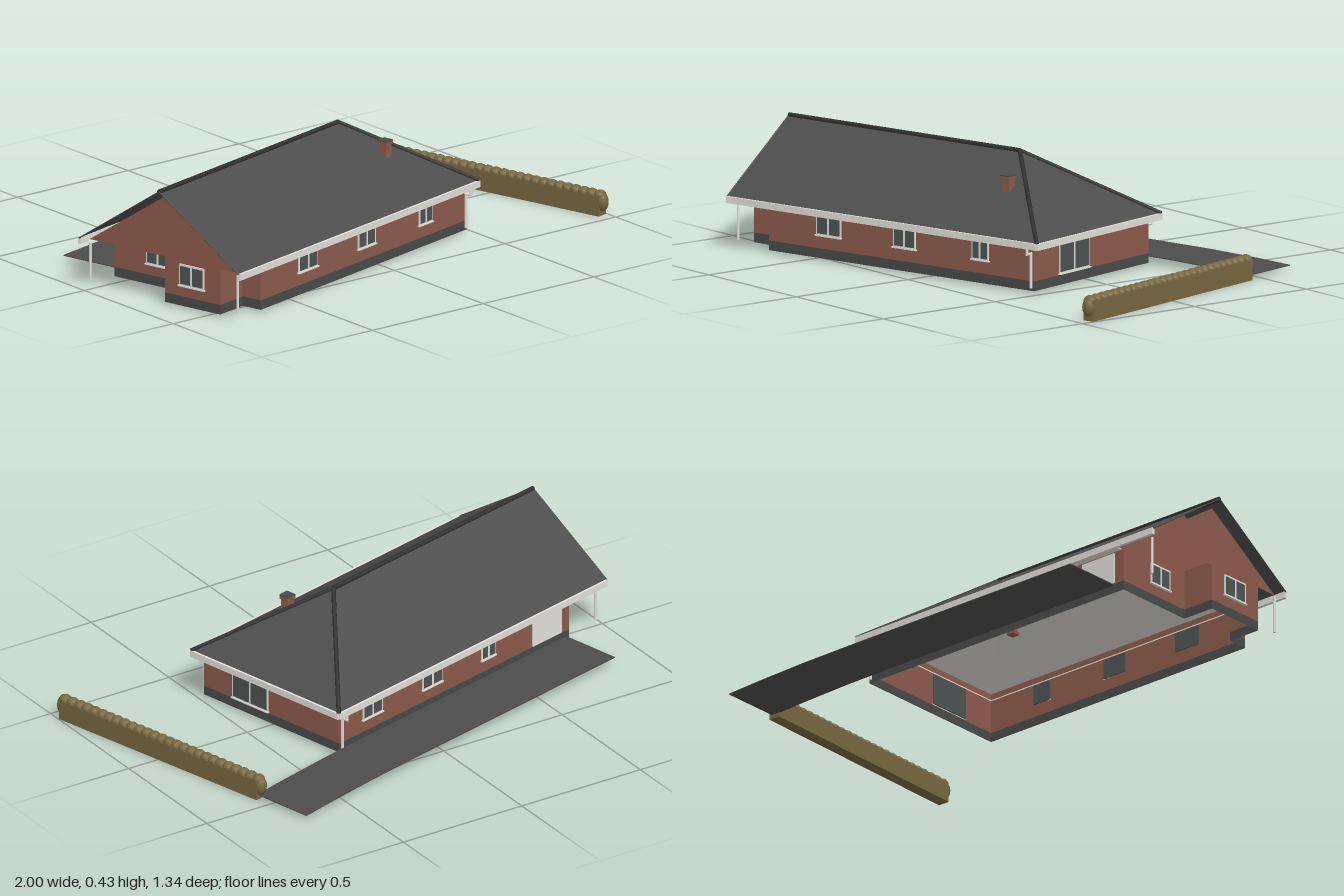
import * as THREE from 'three';

const material = (name, color, side = THREE.FrontSide) => {
  const m = new THREE.MeshStandardMaterial({ color, side });
  m.name = name;
  return m;
};

export function createModel() {
  const D = THREE.DoubleSide;
  const brick = material('brick', 0x8c5a4c, D);
  const stone = material('plinth grey', 0x484a4a, D);
  const tile = material('roof tile', 0x4d4d4d, D);
  const ridgeDark = material('ridge tile', 0x303030);
  const white = material('trim white', 0xe2e0da);
  const glass = material('glass', 0x4c5352);
  const leaf = material('hedge', 0x76673f);
  const asphalt = material('asphalt', 0x4c4c4c);
  const lining = material('ceiling white', 0xd8d5ce, D);

  const model = new THREE.Group();
  model.name = 'bungalow';
  // The plot is turned on the ground: local x runs along the ridge
  const plot = new THREE.Group();
  plot.name = 'plot';
  plot.position.set(-0.24, 0, 0.15);
  plot.rotation.y = 0.24;
  model.add(plot);

  const add = (name, geo, mat, x = 0, y = 0, z = 0, parent = plot) => {
    const mesh = new THREE.Mesh(geo, mat);
    mesh.name = name;
    mesh.position.set(x, y, z);
    parent.add(mesh);
    return mesh;
  };
  const box = (name, mat, w, h, d, x, y, z, parent) =>
    add(name, new THREE.BoxGeometry(w, h, d), mat, x, y, z, parent);
  const beam = (name, a, b, r, mat) => {
    const p = new THREE.Vector3(...a), q = new THREE.Vector3(...b);
    const mesh = add(name, new THREE.CylinderGeometry(r, r, p.distanceTo(q), 8), mat);
    mesh.position.copy(p).lerp(q, 0.5);
    mesh.quaternion.setFromUnitVectors(new THREE.Vector3(0, 1, 0), q.sub(p).normalize());
  };
  const polygons = (faces) => {
    const pos = [];
    for (const f of faces)
      for (let i = 1; i < f.length - 1; i++) pos.push(...f[0], ...f[i], ...f[i + 1]);
    const g = new THREE.BufferGeometry();
    g.setAttribute('position', new THREE.Float32BufferAttribute(pos, 3));
    g.computeVertexNormals();
    return g;
  };

  // Walls and plinth follow one stepped plan, open underneath
  const plan = [[0.66, 0.325], [0.66, -0.325], [-0.53, -0.325], [-0.53, 0],
    [-0.66, 0], [-0.66, 0.245], [-0.53, 0.245], [-0.53, 0.325]];
  const band = (y0, y1) => polygons(plan.map(([x, z], i) => {
    const [x2, z2] = plan[(i + 1) % plan.length];
    return [[x, y0, z], [x2, y0, z2], [x2, y1, z2], [x, y1, z]];
  }));
  add('walls', band(0.045, 0.195), brick);
  add('plinth', band(0.01, 0.045), stone);

  // Roof: gable on the left end of the ridge, hip on the other
  const H = 0.34, R = 0.425;
  const slopes = (left, right, half, eave, ridge) => {
    const fl = [left, eave, half], fr = [right, eave, half];
    const bl = [left, eave, -half], br = [right, eave, -half];
    const rl = [left, ridge, 0], rr = [H, ridge, 0];
    return [[fl, fr, rr, rl], [br, bl, rl, rr], [fr, br, rr]];
  };
  const L = 0.695, W = 0.355, E = 0.187;
  add('roof', polygons(slopes(-L, L, W, E, R)), tile);
  // Vaulted lining inside, its faces turned downward
  add('roofLining', polygons(slopes(-0.53, 0.66, 0.325, 0.195, 0.413).map((f) => f.reverse())), lining);
  const gable = (x, half, base, apex) => [[x, base, -half], [x, base, half], [x, apex, 0]];
  add('gableWalls', polygons([gable(-0.53, 0.325, 0.195, 0.413), gable(-0.66, 0.335, 0.178, 0.4)]), brick);

  const rl = [-L, R, 0], rr = [H, R, 0];
  beam('ridge', rl, rr, 0.009, ridgeDark);
  // Hips, gutters, downpipes and porch posts mirror front to back
  for (const s of [-1, 1]) {
    beam('hip', rr, [L, E, s * W], 0.008, ridgeDark);
    beam('verge', rl, [-L, E, s * W], 0.0025, tile);
    box('gutter', white, 2 * L, 0.024, 0.012, 0, 0.177, s * W);
    box('eaveSoffit', white, 1.2, 0.004, 0.03, 0.08, 0.17, s * 0.338);
    beam('porchPost', [-0.666, 0.03, s * 0.327], [-0.666, 0.17, s * 0.327], 0.005, white);
    beam('downpipe', [0.65, 0.02, s * 0.331], [0.65, 0.147, s * 0.331], 0.005, white);
    beam('downpipeElbow', [0.65, 0.145, s * 0.327], [0.65, 0.145, s * 0.357], 0.005, white);
    beam('downpipeDrop', [0.65, 0.143, s * 0.353], [0.65, 0.168, s * 0.353], 0.005, white);
  }
  box('gutter', white, 0.012, 0.024, 2 * W, L, 0.177, 0);
  box('eaveSoffit', white, 0.035, 0.004, 0.7, 0.676, 0.17, 0);

  // Chimney
  box('chimney', brick, 0.032, 0.07, 0.032, 0.41, 0.325, 0.156);
  box('chimneyCap', brick, 0.04, 0.012, 0.04, 0.41, 0.362, 0.156);
  box('chimneyTop', stone, 0.04, 0.004, 0.04, 0.41, 0.37, 0.156);

  // Windows: framed outside, plain glass inside
  const opening = (name, x, z, w, y0, y1, turn = 0) => {
    const g = new THREE.Group();
    g.name = name;
    g.position.set(x, (y0 + y1) / 2, z);
    g.rotation.y = turn;
    plot.add(g);
    const h = y1 - y0;
    box('frame', white, w, h, 0.005, 0, 0, 0.0025, g);
    for (const s of [-1, 1])
      box('pane', glass, w / 2 - 0.01, h - 0.014, 0.002, s * w / 4, 0, 0.005, g);
    box('innerGlass', glass, w, h, 0.004, 0, 0, -0.002, g);
    box('sill', white, w + 0.008, 0.005, 0.009, 0, -h / 2, 0.0045, g);
  };
  for (const [x, w] of [[-0.26, 0.11], [0.08, 0.1], [0.42, 0.075]])
    opening('frontWindow', x, 0.325, w, 0.092, 0.165);
  for (const [x, w] of [[0.49, 0.1], [0.18, 0.1], [-0.11, 0.07]])
    opening('backWindow', x, -0.325, w, 0.092, 0.165, Math.PI);
  opening('gableWindow', -0.66, 0.12, 0.11, 0.085, 0.165, -Math.PI / 2);
  opening('gableWindow', -0.53, -0.13, 0.1, 0.085, 0.165, -Math.PI / 2);
  opening('slidingDoor', 0.66, 0.1, 0.17, 0.05, 0.165, Math.PI / 2);
  box('garageDoor', white, 0.15, 0.115, 0.009, -0.415, 0.105, -0.325);

  // Driveway: a thin strip dipping toward the hedge
  const rise = [[-0.5, 0.033], [0.5, 0.033], [0.75, 0.031], [0.95, 0.025], [1.1, 0.018]];
  const profile = new THREE.Shape([...rise, ...rise.slice().reverse().map(([x, y]) => [x, y - 0.003])]
    .map((p) => new THREE.Vector2(...p)));
  add('driveway', new THREE.ExtrudeGeometry(profile, { depth: 0.235, bevelEnabled: false }),
    asphalt, 0, 0, -0.575);

  // Hedge: straight body with a row of rounded tufts
  const hedge = new THREE.Group();
  hedge.name = 'hedge';
  hedge.position.set(1.099, 0, 0.12);
  hedge.rotation.y = 0.022;
  plot.add(hedge);
  box('hedgeBody', leaf, 0.044, 0.074, 0.93, 0, 0.037, 0, hedge);
  const tuft = new THREE.SphereGeometry(0.023, 10, 8);
  const count = 27;
  for (let i = 0; i < count; i++) {
    const t = add('hedgeTuft', tuft, leaf, 0, 0.074, -0.455 + (0.91 * i) / (count - 1), hedge);
    t.scale.y = 0.8;
  }
  for (const s of [-1, 1]) {
    const end = add('hedgeEnd', tuft, leaf, 0, 0.05, s * 0.465, hedge);
    end.scale.y = 1.5;
  }
  return model;
}
